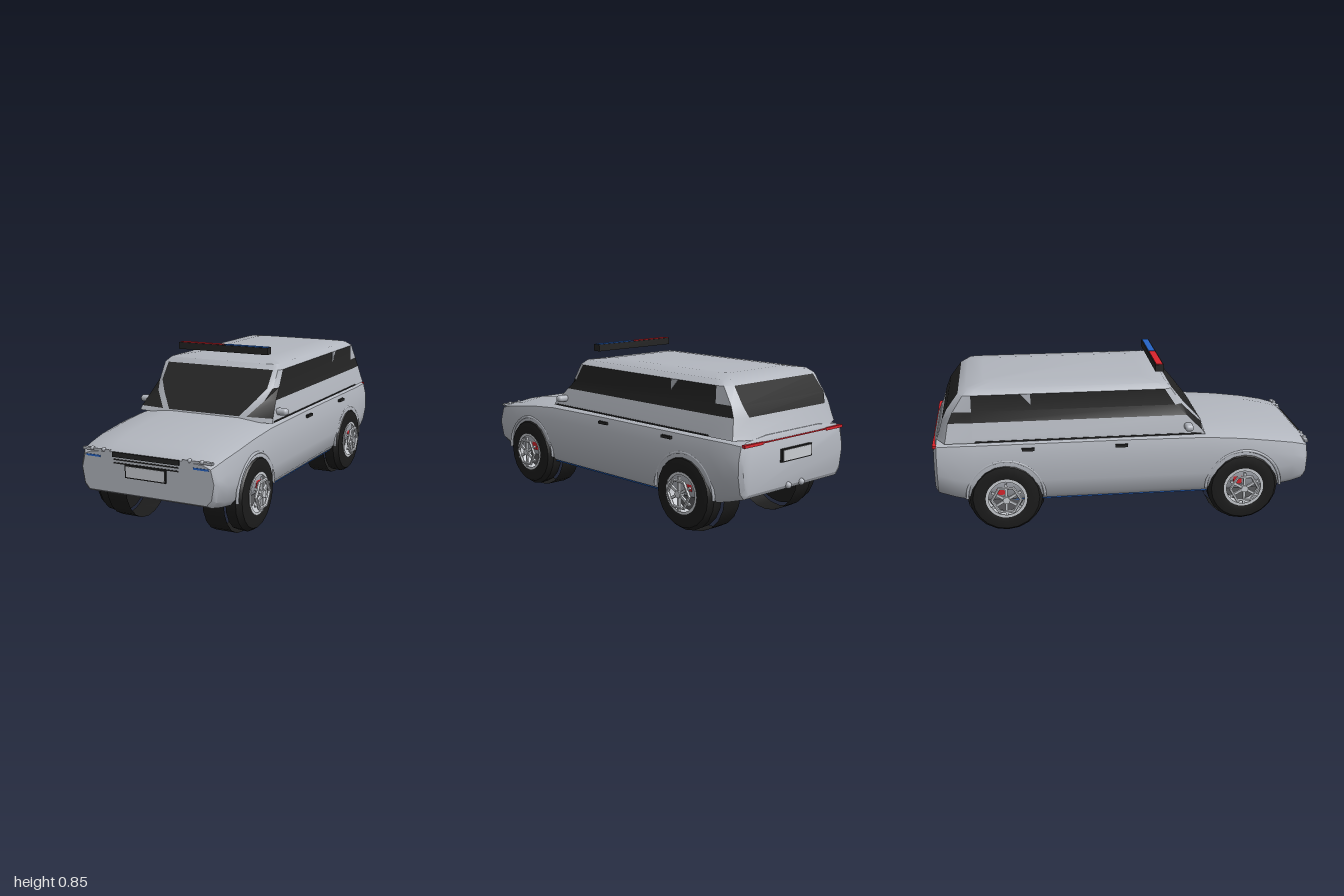
import * as THREE from 'three';
import { toCreasedNormals } from 'three/addons/utils/BufferGeometryUtils.js';
import { RoundedBoxGeometry } from 'three/addons/geometries/RoundedBoxGeometry.js';

function mat(name, color, side = THREE.FrontSide) {
  const m = new THREE.MeshStandardMaterial({ color, side });
  m.name = name;
  return m;
}

// Skins closed rings; pick(layer, segment) puts each quad in bucket 0 or 1
function loft(rings, pick = () => 0) {
  const n = rings[0].length;
  const index = [[], []];
  for (let i = 0; i < rings.length - 1; i++) {
    for (let j = 0; j < n; j++) {
      const k = (j + 1) % n;
      const a = i * n + j, b = i * n + k, c = b + n, d = a + n;
      index[pick(i, j)].push(a, b, c, a, c, d);
    }
  }
  const top = (rings.length - 1) * n;
  for (let j = 1; j < n - 1; j++) {
    index[0].push(0, j + 1, j, top, top + j, top + j + 1);
  }
  return index.map((list) => {
    const g = new THREE.BufferGeometry();
    g.setAttribute('position', new THREE.Float32BufferAttribute(rings.flat(2), 3));
    g.setIndex(list);
    return list.length ? toCreasedNormals(g, 0.6) : g;
  });
}

const mirrorRing = (half) => [...half, ...half.map(([x, y, z]) => [-x, y, z]).reverse()];

export function createModel() {
  const silver = mat('silver paint', 0xb2b6be);
  const black = mat('black glass and trim', 0x242424);
  const rubber = mat('tyre rubber', 0x1c1c1c, THREE.DoubleSide);
  const alloy = mat('wheel alloy', 0xc9ccd1, THREE.DoubleSide);
  const grey = mat('brake grey', 0x5c5d60);
  const red = mat('red', 0xd8232c);
  const blue = mat('blue', 0x2563c4);

  const model = new THREE.Group();
  const add = (name, geo, material, x = 0, y = 0, z = 0, parent = model) => {
    const m = new THREE.Mesh(geo, material);
    m.name = name;
    m.position.set(x, y, z);
    parent.add(m);
    return m;
  };
  const box = (name, w, h, d, material, x, y, z, parent) =>
    add(name, new THREE.BoxGeometry(w, h, d), material, x, y, z, parent);

  // Lower body: z, half width, underside, shoulder, top
  const sections = [
    [-0.98, 0.375, 0.25, 0.475, 0.49], [-0.965, 0.392, 0.23, 0.5, 0.515],
    [-0.88, 0.403, 0.205, 0.505, 0.52], [-0.78, 0.407, 0.182, 0.505, 0.52],
    [0, 0.407, 0.182, 0.505, 0.52], [0.43, 0.407, 0.182, 0.5, 0.52],
    [0.62, 0.405, 0.182, 0.485, 0.506], [0.78, 0.402, 0.185, 0.465, 0.487],
    [0.9, 0.39, 0.2, 0.445, 0.462], [0.965, 0.378, 0.213, 0.428, 0.442],
    [0.985, 0.362, 0.225, 0.415, 0.425],
  ];
  const bodyRings = sections.map(([z, w, yb, ys, yt]) => mirrorRing([
    [w - 0.04, yb, z], [w - 0.014, yb + 0.03, z], [w, yb + 0.11, z],
    [w - 0.002, ys - 0.08, z], [w - 0.018, ys - 0.015, z], [w - 0.055, ys, z],
    [w * 0.5, yt, z],
  ]));
  add('body', loft(bodyRings)[0], silver);

  // Cabin: height, then x,z of glass edge, pillar, side front, side rear, rear corner, rear glass edge
  const layers = [
    [0.505, 0.2, 0.437, 0.24, 0.432, 0.388, 0.42, 0.388, -0.78, 0.385, -0.92, 0.3, -0.965],
    [0.527, 0.205, 0.428, 0.245, 0.423, 0.384, 0.405, 0.384, -0.78, 0.378, -0.915, 0.3, -0.955],
    [0.605, 0.27, 0.365, 0.315, 0.352, 0.363, 0.325, 0.363, -0.78, 0.358, -0.9, 0.285, -0.932],
    [0.66, 0.31, 0.317, 0.335, 0.3, 0.352, 0.265, 0.352, -0.78, 0.348, -0.875, 0.305, -0.908],
    [0.745, 0.31, 0.25, 0.335, 0.243, 0.348, 0.21, 0.348, -0.78, 0.34, -0.82, 0.295, -0.845],
    [0.77, 0.3, 0.222, 0.312, 0.215, 0.32, 0.18, 0.32, -0.76, 0.31, -0.79, 0.28, -0.805],
    [0.783, 0.2, 0.11, 0.21, 0.1, 0.22, 0.08, 0.22, -0.66, 0.21, -0.7, 0.19, -0.72],
  ];
  const cabinRings = layers.map(([y, ...p]) =>
    mirrorRing([0, 2, 4, 6, 8, 10].map((i) => [p[i], y, p[i + 1]])));
  // Glazed layer range for each segment, from windscreen (-1) to rear window (5)
  const glazed = { '-1': [1, 3], 1: [1, 2], 2: [2, 3], 3: [2, 2], 5: [2, 3] };
  const [shell, glass] = loft(cabinRings, (i, j) => {
    const range = glazed[j <= 5 ? j : 10 - j];
    return range && i >= range[0] && i <= range[1] ? 1 : 0;
  });
  add('cabinShell', shell, silver);
  add('windows', glass, black);

  // Blue floor panel
  box('floorPanel', 0.72, 0.008, 1.1, blue, 0, 0.176, -0.03);

  // Roof light bar
  const bar = new THREE.Group();
  bar.name = 'lightBar';
  model.add(bar);
  box('lightBarBase', 0.526, 0.036, 0.044, black, 0, 0.832, 0.195, bar);
  box('redLens', 0.25, 0.004, 0.034, red, -0.132, 0.851, 0.195, bar);
  box('blueLens', 0.25, 0.004, 0.034, blue, 0.132, 0.851, 0.195, bar);

  // Front face
  box('grille', 0.364, 0.024, 0.016, black, 0, 0.414, 0.985);
  box('grilleSlotUpper', 0.356, 0.006, 0.006, black, 0, 0.389, 0.985);
  box('grilleSlotLower', 0.356, 0.006, 0.006, black, 0, 0.372, 0.985);
  // Number plates
  for (const [name, y, s] of [['frontPlate', 0.339, 1], ['rearPlate', 0.405, -1]]) {
    box(name + 'Frame', 0.224, 0.064, 0.016, black, 0, y, s * 0.986);
    box(name, 0.21, 0.052, 0.006, alloy, 0, y, s * 0.993);
  }
  // Tail strip
  box('tailStrip', 0.5, 0.006, 0.008, red, 0, 0.487, -0.98);

  // Wheel shapes, turned so the lathe axis lies along x
  const tyreGeo = toCreasedNormals(new THREE.LatheGeometry([
    [0.1, 0.33], [0.187, 0.33], [0.19, 0.385], [0.172, 0.411], [0.13, 0.417],
    [0.1, 0.411], [0.1, 0.33],
  ].map(([r, y]) => new THREE.Vector2(r, y)), 20), 0.6).rotateZ(-Math.PI / 2);
  const axial = (r, len, sides, open = false) =>
    new THREE.CylinderGeometry(r, r, len, sides, 1, open).rotateZ(-Math.PI / 2);
  const rimRing = new THREE.RingGeometry(0.092, 0.107, 28).rotateY(Math.PI / 2);
  const hexRing = toCreasedNormals(new THREE.TorusGeometry(0.075, 0.009, 6, 6), 0.4).rotateY(Math.PI / 2);

  for (const s of [1, -1]) {
    const side = s > 0 ? 'left' : 'right';
    for (const [end, z] of [['Front', 0.63], ['Rear', -0.62]]) {
      const wheel = new THREE.Group();
      wheel.name = side + end + 'Wheel';
      wheel.position.set(0, 0.205, z);
      wheel.rotation.y = s > 0 ? 0 : Math.PI;
      model.add(wheel);
      add('tyre', tyreGeo, rubber, 0, 0, 0, wheel);
      add('innerTread', axial(0.205, 0.115, 20, true), rubber, 0.273, 0, 0, wheel);
      add('rimBarrel', axial(0.098, 0.085, 28, true), alloy, 0.372, 0, 0, wheel);
      add('rimEdge', rimRing, alloy, 0.418, 0, 0, wheel);
      add('brakeDisc', axial(0.094, 0.02, 24), grey, 0.35, 0, 0, wheel);
      box('caliper', 0.03, 0.07, 0.045, red, 0.385, 0.05, -0.03 * s, wheel);
      add('hexRing', hexRing, alloy, 0.436, 0, 0, wheel);
      add('hub', axial(0.02, 0.03, 6), alloy, 0.43, 0, 0, wheel);
      for (let i = 0; i < 6; i++) {
        const a = (i * Math.PI) / 3;
        const spoke = box('spoke', 0.012, 0.08, 0.013, alloy,
          0.432, 0.047 * Math.cos(a), 0.047 * Math.sin(a), wheel);
        spoke.rotation.x = a;
      }
      // Arch lip
      const lip = add('archLip', new THREE.TorusGeometry(0.2, 0.008, 6, 24, Math.PI), silver,
        s * 0.4, 0.205, z);
      lip.rotation.y = Math.PI / 2;
    }

    // Door mirror
    add('mirror', new RoundedBoxGeometry(0.066, 0.036, 0.045, 3, 0.017), silver, s * 0.4, 0.551, 0.33);
    box('mirrorStalk', 0.04, 0.012, 0.02, silver, s * 0.365, 0.545, 0.33);

    // Side trim and handles
    box('beltLine', 0.008, 0.007, 1.17, black, s * 0.386, 0.51, -0.185);
    for (const z of [-0.02, -0.5]) {
      box('doorHandle', 0.014, 0.014, 0.065, black, s * 0.404, 0.465, z);
    }

    // Quarter window pillar
    const pillar = new THREE.Shape([[0.48, 0.69], [0.48, 0.745], [0.53, 0.745]]
      .map(([u, v]) => new THREE.Vector2(u, v)));
    add('quarterPillar', new THREE.ExtrudeGeometry(pillar, { depth: 0.006, bevelEnabled: false })
      .rotateY(Math.PI / 2), silver, s * 0.35 - 0.003);

    // Lamps
    box('headlamp', 0.08, 0.009, 0.008, blue, s * 0.295, 0.396, 0.984);
    box('lampBrow', 0.155, 0.012, 0.02, silver, s * 0.275, 0.427, 0.978);
    for (const x of [0.235, 0.3]) {
      add('browStud', new THREE.SphereGeometry(0.011, 10, 8), silver, s * x, 0.43, 0.983);
    }
    box('tailLamp', 0.13, 0.014, 0.02, red, s * 0.305, 0.485, -0.974);
    // Rear tow stubs
    add('towStub', new THREE.SphereGeometry(0.017, 10, 8), silver, s * 0.05, 0.25, -0.982);
  }
  return model;
}
